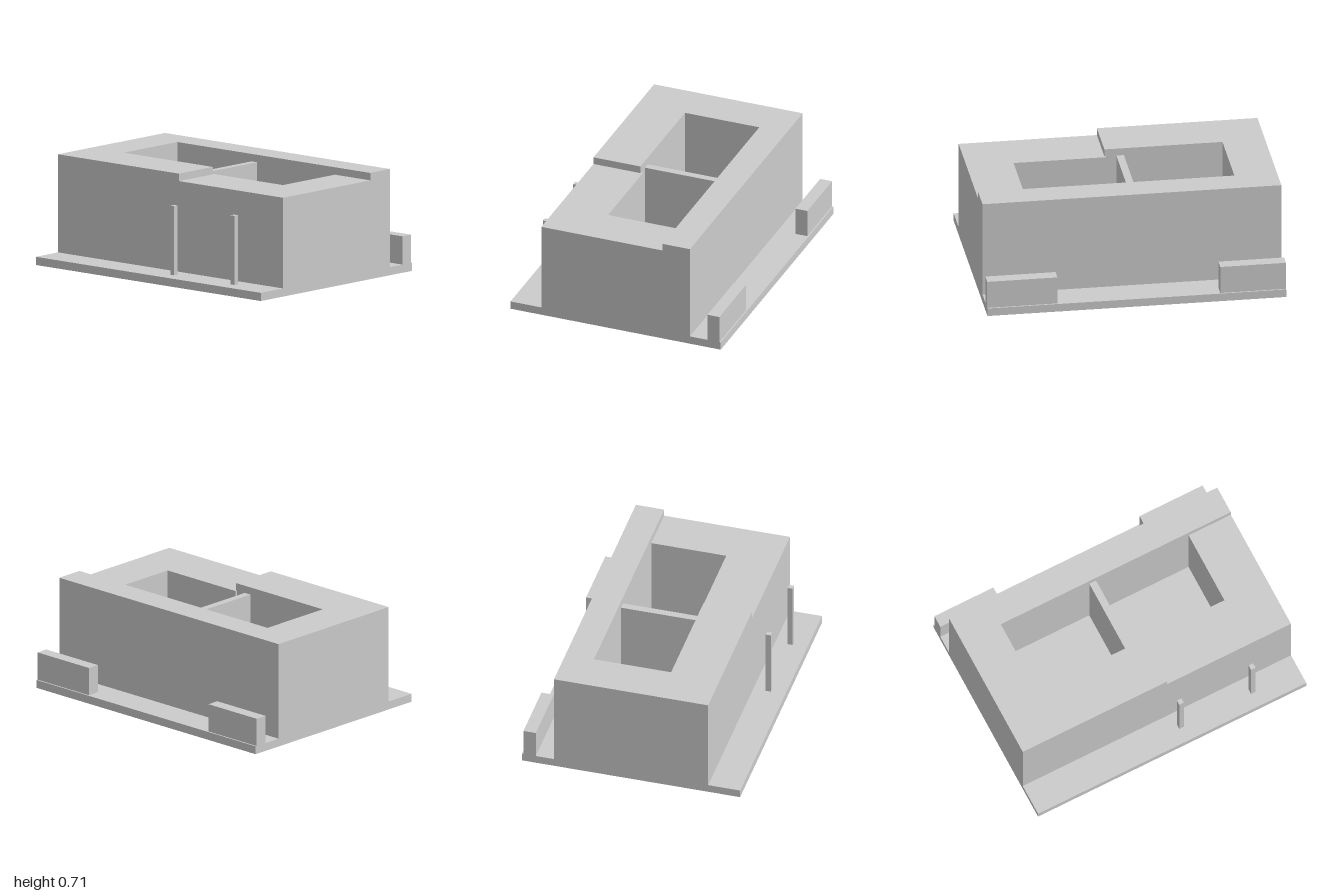
import * as THREE from 'three';

const material = new THREE.MeshStandardMaterial({ color: 0xcccccc, flatShading: true });

// Box given by its minimum and maximum corners
function box(name, [x0, y0, z0], [x1, y1, z1]) {
  const mesh = new THREE.Mesh(new THREE.BoxGeometry(x1 - x0, y1 - y0, z1 - z0), material);
  mesh.position.set((x0 + x1) / 2, (y0 + y1) / 2, (z0 + z1) / 2);
  mesh.name = name;
  return mesh;
}

// Floor plan of [x, z] points raised from y0 to y1, with optional holes
function raisePlan(name, outline, holes, y0, y1) {
  const toPoints = (list) => list.map(([x, z]) => new THREE.Vector2(x, z));
  const shape = new THREE.Shape(toPoints(outline));
  shape.holes = holes.map((hole) => new THREE.Path(toPoints(hole)));
  const geometry = new THREE.ExtrudeGeometry(shape, { depth: y1 - y0, bevelEnabled: false });
  geometry.rotateX(Math.PI / 2).translate(0, y1, 0);
  const mesh = new THREE.Mesh(geometry, material);
  mesh.name = name;
  return mesh;
}

export function createModel() {
  const model = new THREE.Group();
  model.name = 'courtyardBuilding';
  const ground = 0.055, lowRoof = 0.665, highRoof = 0.715;
  const depth = 0.53;                                   // half depth of the building
  const west = -0.715, east = 0.685, north = -0.335, south = 0.195; // courtyard sides

  model.add(box('basePlate', [-1, 0, -0.75], [1, ground, 0.75]));

  // Walls around the courtyard, up to the lower roof
  model.add(raisePlan('walls',
    [[-1, -depth], [1, -depth], [1, depth], [-1, depth]],
    [[[west, north], [east, north], [east, 0.18], [0.065, 0.18], [0.065, south], [west, south]]],
    ground, lowRoof));

  // Higher roof along the back, the -x end and part of the front
  model.add(raisePlan('upperRoof',
    [[-1, -depth], [1, -depth], [1, north], [west, north],
      [west, south], [0.075, south], [0.075, depth], [-1, depth]],
    [], lowRoof, highRoof));

  model.add(box('courtyardDivider', [-0.055, ground, north], [-0.005, lowRoof, south]));

  // Slim posts in front
  for (const x of [0.122, 0.657]) {
    model.add(box('frontPost', [x - 0.017, ground, 0.615], [x + 0.017, 0.52, 0.65]));
  }

  // Low walls at the back corners
  for (const [x0, x1] of [[-1, -0.56], [0.53, 1]]) {
    model.add(box('backWall', [x0, ground, -0.74], [x1, 0.245, -0.655]));
  }
  return model;
}
